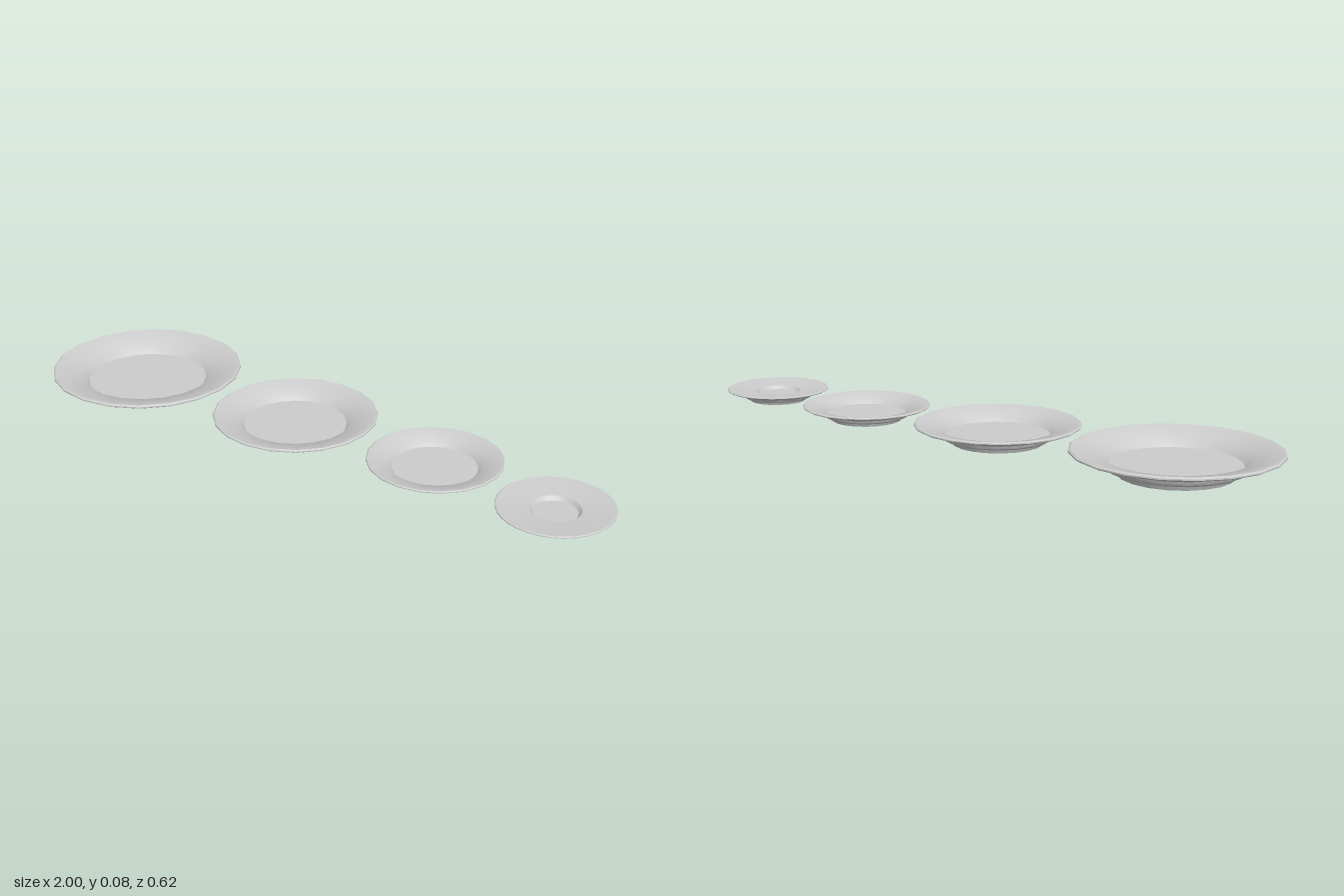
import * as THREE from 'three';
import { toCreasedNormals } from 'three/addons/utils/BufferGeometryUtils.js';

const material = new THREE.MeshStandardMaterial({ color: 0xcccccc });

// Underside and rim at full size: recessed base, foot ring, rounded step, flared rim
const underside = [
  [0, 0.008], [0.16, 0.008], [0.163, 0], [0.17, 0], [0.177, 0.016],
  [0.2, 0.019], [0.208, 0.025], [0.212, 0.036],
  [0.302, 0.063], [0.309, 0.067], [0.309, 0.071], [0.303, 0.075],
];

// Top surfaces: sloping rim down to the well
const plateWell = [[0.217, 0.055], [0.193, 0.03], [0, 0.03]];
const saucerWell = [[0.134, 0.057], [0.116, 0.037], [0, 0.037]];

function makeDish(name, well, scale, segments, x, y, z) {
  const points = [...underside, ...well].map(([r, h]) => new THREE.Vector2(r * scale, h * scale));
  const geometry = toCreasedNormals(new THREE.LatheGeometry(points, segments), 0.6);
  const mesh = new THREE.Mesh(geometry, material);
  mesh.name = name;
  mesh.position.set(x, y, z);
  return mesh;
}

export function createModel() {
  const group = new THREE.Group();
  group.name = 'plateSet';
  group.add(
    makeDish('dinnerPlate', plateWell, 1, 20, -0.692, 0, 0),
    makeDish('lunchPlate', plateWell, 0.83, 20, -0.09, 0.009, 0),
    makeDish('sidePlate', plateWell, 0.662, 20, 0.414, 0.015, 0),
    makeDish('saucer', saucerWell, 0.55, 32, 0.829, 0.02, 0.045),
  );
  return group;
}
